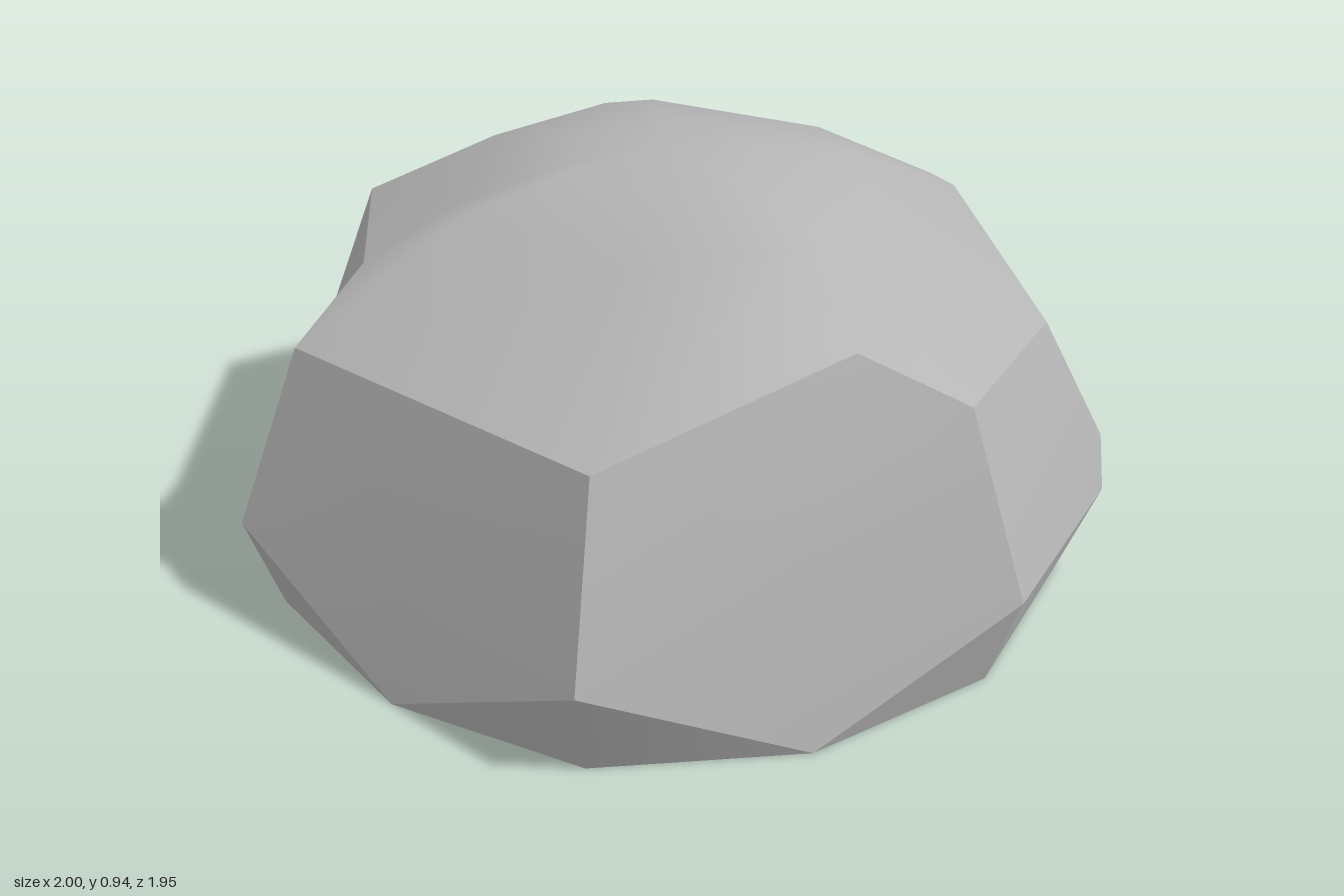
import * as THREE from 'three';

const stone = new THREE.MeshStandardMaterial({ color: 0xb4b4b4, side: THREE.DoubleSide });
stone.name = 'greyStone';

// Corner columns around the dome, turning from +x towards +z: [x, z]
const belt = [[1, -0.03], [0.88, 0.435], [0.105, 0.97], [-0.775, 0.64], [-1, -0.275], [-0.375, -0.98], [0.56, -0.865]];
const shoulder = [[0.835, -0.03], [0.735, 0.365], [0.09, 0.81], [-0.655, 0.535], [-0.845, -0.24], [-0.32, -0.83], [0.47, -0.735]];
// Ground points between one column and the next (the first panel is narrow and has none)
const foot = [null, [0.52, 0.73], [-0.35, 0.84], [-0.92, 0.2], [-0.72, -0.65], [0.1, -0.96], [0.82, -0.47]];
// Panels that rise to a point above the shoulder
const peak = { 1: [0.51, 0.76, 0.435], 3: [-0.58, 0.75, 0.34], 4: [-0.4, 0.755, -0.57], 6: [0.57, 0.76, -0.4] };

const at = (p, y) => [p[0], y, p[1]];
const count = belt.length;

function surface(name, points, index) {
  const g = new THREE.BufferGeometry();
  g.setAttribute('position', new THREE.Float32BufferAttribute(points.flat(), 3));
  g.setIndex(index);
  g.computeVertexNormals();
  const mesh = new THREE.Mesh(g, stone);
  mesh.name = name;
  return mesh;
}

// Convex facet fanned from its centre
function facet(name, points) {
  const n = points.length;
  const centre = [0, 1, 2].map(k => points.reduce((s, p) => s + p[k], 0) / n);
  const index = [];
  for (let i = 0; i < n; i++) index.push(n, i, (i + 1) % n);
  return surface(name, [...points, centre], index);
}

export function createModel() {
  const group = new THREE.Group();
  group.name = 'rockDome';
  const edge = [];

  for (let i = 0; i < count; i++) {
    const j = (i + 1) % count;
    // Side panel
    const panel = [];
    if (foot[i]) panel.push(at(foot[i], 0));
    panel.push(at(belt[i], 0.235));
    if (i === 0) panel.push([0.98, 0.375, -0.03]);
    panel.push(at(shoulder[i], 0.635));
    if (peak[i]) panel.push(peak[i]);
    panel.push(at(shoulder[j], 0.635));
    if (j === 0) panel.push([0.98, 0.375, -0.03]);
    panel.push(at(belt[j], 0.235));
    group.add(facet('sidePanel', panel));

    // Undercut strip between the belt corner and the ground
    const under = k => (k === 0 ? [0.92, 0, -0.03] : [belt[k][0] * 0.93, 0, belt[k][1] * 0.93]);
    const top = at(belt[i], 0.235);
    const strip = [top];
    const before = foot[(i + count - 1) % count];
    if (foot[i]) strip.push(at(foot[i], 0));
    strip.push(under(i));
    if (before) strip.push(at(before, 0));
    const fan = [];
    for (let k = 1; k < strip.length - 1; k++) fan.push(0, k, k + 1);
    group.add(surface('undercut', strip, fan));
    if (!foot[i]) group.add(surface('undercut', [top, at(belt[j], 0.235), under(j), under(i)], [0, 1, 2, 0, 2, 3]));

    edge.push(at(shoulder[i], 0.635));
    if (peak[i]) edge.push(peak[i]);
  }

  // Smooth crown: the panel tops drawn in through two rings to the summit
  const n = edge.length;
  const ring = (r, y) => edge.map(([x, , z]) => {
    const a = Math.atan2(z + 0.03, x + 0.02);
    return [r * Math.cos(a) - 0.02, y, r * Math.sin(a) - 0.03];
  });
  const points = [...edge, ...ring(0.46, 0.863), ...ring(0.22, 0.92), [-0.02, 0.94, -0.03]];
  const index = [];
  for (let i = 0; i < n; i++) {
    const j = (i + 1) % n;
    for (let row = 0; row < 2; row++) {
      const a = row * n + i, b = row * n + j;
      index.push(a, a + n, b, b, a + n, b + n);
    }
    index.push(2 * n + i, 3 * n, 2 * n + j);
  }
  group.add(surface('crown', points, index));
  return group;
}
